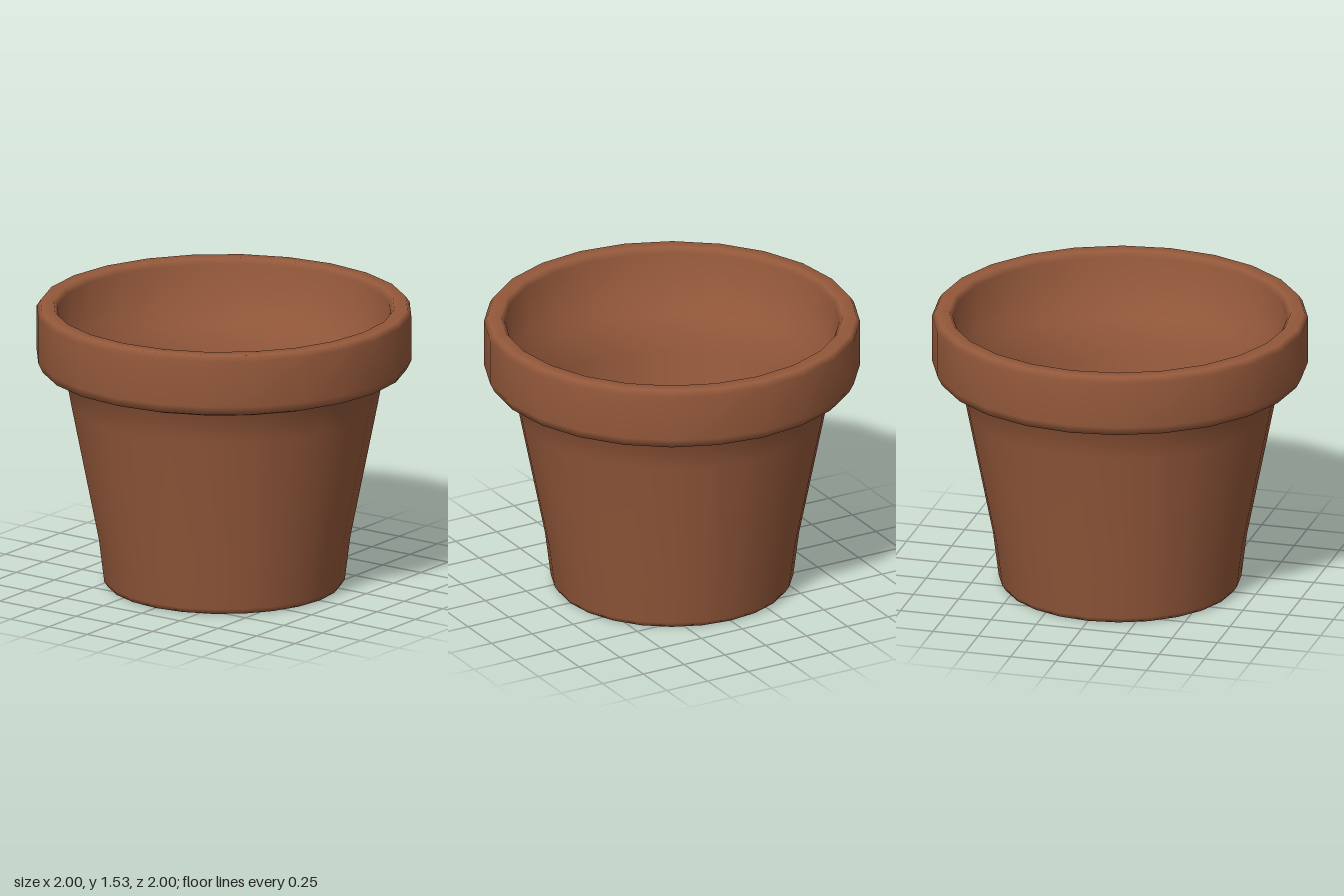
import * as THREE from 'three';

const SIDES = 24;

// Closed wall profile as [radius, height], from the underside centre up the outside and down the inside
const underside = [[0, 0], [0.625, 0]];
const outerWall = [[0.645, 0.03], [0.675, 0.27], [0.82, 1.0], [0.852, 1.172]];
const rim = [
  [0.9, 1.175], [0.975, 1.2], [1, 1.25], [1, 1.5], [0.98, 1.53],
  [0.91, 1.53], [0.89, 1.5], [0.86, 1.27],
];
const innerWall = [[0.77, 1.2], [0.73, 1.0], [0.6, 0.3], [0.57, 0.13]];
const floor = [[0, 0.12]];

export function createModel() {
  const terracotta = new THREE.MeshStandardMaterial({ color: 0x95593b });
  terracotta.name = 'terracotta';

  // One continuous turned shell, so the shading flows smoothly from part to part
  const profile = [...underside, ...outerWall, ...rim, ...innerWall, ...floor]
    .map(([r, y]) => new THREE.Vector2(r, y));
  const pot = new THREE.Mesh(new THREE.LatheGeometry(profile, SIDES), terracotta);
  pot.name = 'pot';

  const model = new THREE.Group();
  model.name = 'flowerPot';
  model.add(pot);
  return model;
}
